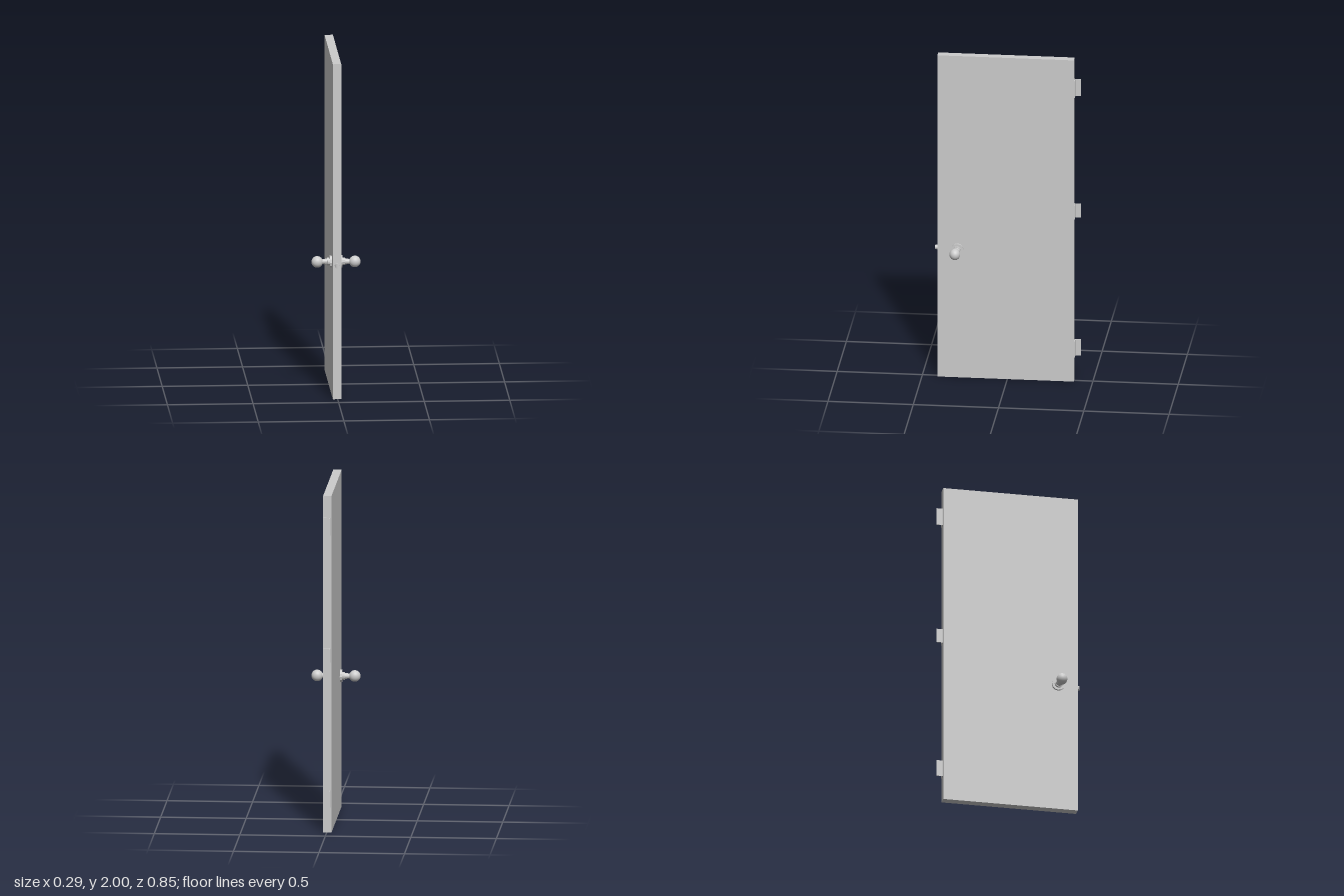
import * as THREE from 'three';

const material = new THREE.MeshStandardMaterial({ color: 0xcccccc });
const faceted = new THREE.MeshStandardMaterial({ color: 0xcccccc, flatShading: true });

function add(parent, name, geometry, mat = material) {
  const mesh = new THREE.Mesh(geometry, mat);
  mesh.name = name;
  parent.add(mesh);
  return mesh;
}

// Turned knob on one face of the door; side is +1 (left) or -1 (right)
function createKnob(side) {
  const knob = new THREE.Group();
  knob.name = side > 0 ? 'leftKnob' : 'rightKnob';
  const turned = (name, rTop, rBase, from, to, sides) => {
    const g = new THREE.CylinderGeometry(rTop, rBase, to - from, sides);
    g.translate(0, (from + to) / 2, 0).rotateZ(-side * Math.PI / 2);
    return add(knob, name, g, faceted);
  };
  turned('rosette', 0.037, 0.037, 0.02, 0.037, 12);
  turned('collar', 0.023, 0.023, 0.035, 0.052, 12);
  // the stem leans slightly toward the ball centre
  const stem = turned('stem', 0.013, 0.0195, 0.05, 0.085, 16);
  const p = stem.geometry.attributes.position;
  for (let i = 0; i < p.count; i++) {
    p.setZ(i, p.getZ(i) + (Math.abs(p.getX(i)) - 0.05) * 0.11);
  }
  stem.geometry.computeVertexNormals();
  const ball = add(knob, 'ball', new THREE.SphereGeometry(0.034, 32, 20));
  ball.scale.set(1, 1, 0.93);
  ball.position.set(side * 0.11, 0, 0.0055);
  knob.position.set(-0.003, 0.797, 0.293);
  return knob;
}

// Round latch bolt whose tip is curved away on one side
function createLatch() {
  const r = 0.0135;
  const g = new THREE.CylinderGeometry(r, r, 1, 24, 1, true).rotateX(Math.PI / 2);
  const bevel = x => 0.4255 - 0.0155 * (1 - Math.sqrt(Math.max(0, 1 - Math.min(0, (x - 0.005) / 0.0185) ** 2)));
  const p = g.attributes.position;
  for (let i = 0; i < p.count; i++) p.setZ(i, p.getZ(i) > 0 ? bevel(p.getX(i)) : 0.4);
  const tip = new THREE.RingGeometry(0, r, 24, 6);
  const t = tip.attributes.position;
  for (let i = 0; i < t.count; i++) t.setZ(i, bevel(t.getX(i)));
  tip.computeVertexNormals();
  const latch = new THREE.Group();
  latch.name = 'latch';
  add(latch, 'latchBarrel', g);
  add(latch, 'latchTip', tip);
  latch.position.set(-0.004, 0.797, 0);
  return latch;
}

// Hinge: a bevelled plate on the door edge and a thin leaf standing out from it
function createHinge(bottom, top) {
  const hinge = new THREE.Group();
  hinge.name = 'hinge';
  const h = top - bottom;
  const profile = points => {
    const shape = new THREE.Shape(points.map(([x, z]) => new THREE.Vector2(x, -z)));
    return new THREE.ExtrudeGeometry(shape, { depth: h, bevelEnabled: false }).rotateX(-Math.PI / 2);
  };
  add(hinge, 'hingePlate', profile([
    [-0.016, -0.388], [0.02, -0.388], [0.02, -0.393], [0.017, -0.3955], [-0.009, -0.3955], [-0.016, -0.391],
  ]), faceted);
  add(hinge, 'hingeLeaf', profile([
    [-0.024, -0.388], [-0.014, -0.388], [-0.0165, -0.395], [-0.0165, -0.428], [-0.021, -0.428], [-0.021, -0.395],
  ]), faceted);
  hinge.position.y = bottom;
  return hinge;
}

export function createModel() {
  const door = new THREE.Group();
  door.name = 'door';

  const panel = add(door, 'doorPanel', new THREE.BoxGeometry(0.049, 2, 0.8));
  panel.position.set(-0.0035, 1, 0.01);

  for (const side of [1, -1]) door.add(createKnob(side));
  door.add(createLatch());
  for (const [bottom, top] of [[0.15, 0.25], [1.01, 1.095], [1.765, 1.87]]) {
    door.add(createHinge(bottom, top));
  }
  return door;
}
